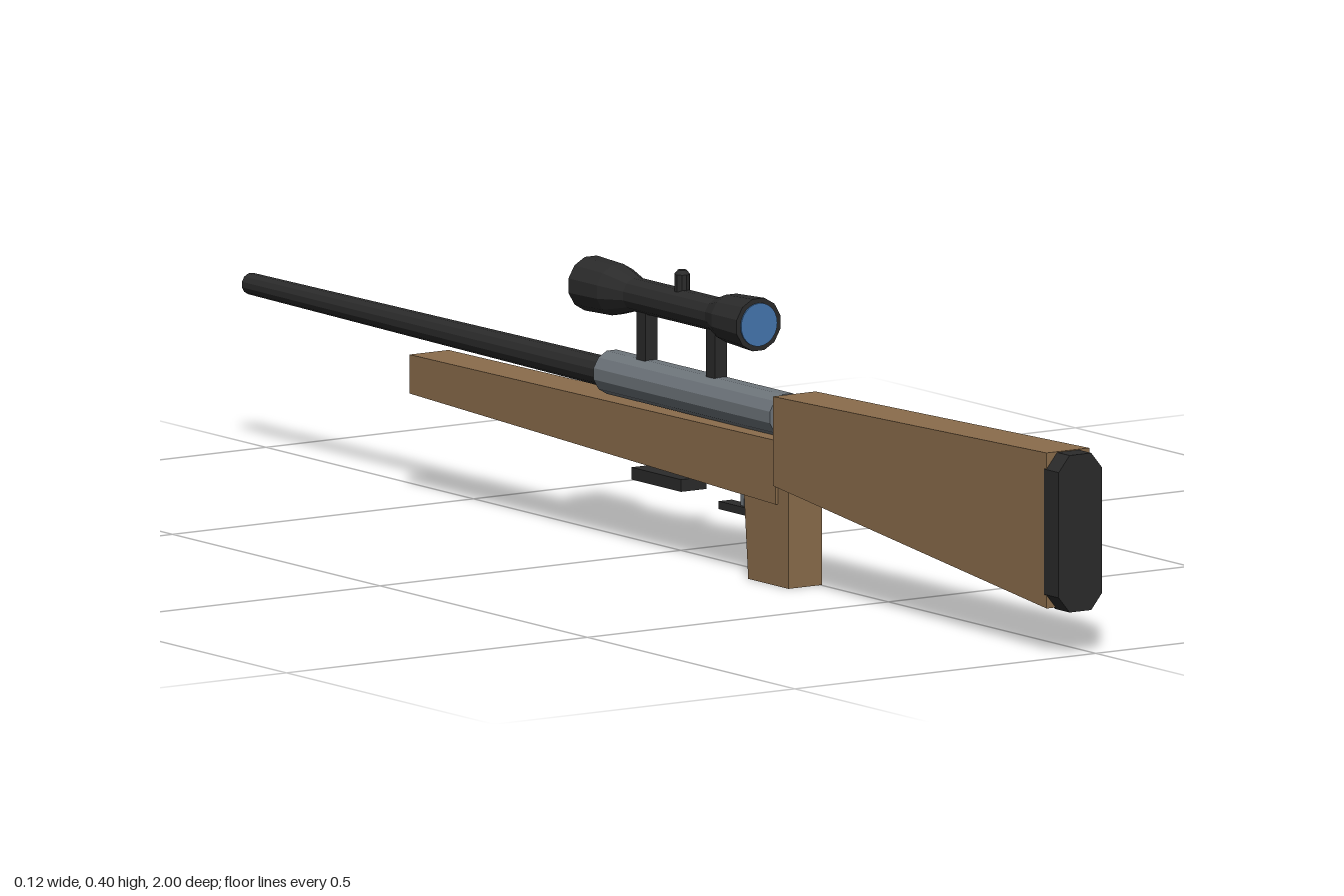
import * as THREE from 'three';

const mat = (name, color, flatShading = true) => {
  const m = new THREE.MeshStandardMaterial({ color });
  m.name = name;
  m.flatShading = flatShading;
  return m;
};

export function createModel() {
  const wood = mat('wood', 0x8b6d4c);
  const black = mat('black metal', 0x2b2b2b);
  const steel = mat('steel', 0x6e757b);
  const glass = mat('lens blue', 0x4577b0);

  const model = new THREE.Group();
  model.name = 'rifle';
  // everything on the bore line sits in this group, offset for the bolt handle
  const body = new THREE.Group();
  body.name = 'body';
  body.position.x = -0.0255;
  model.add(body);

  const add = (name, geometry, material, x = 0, y = 0, z = 0) => {
    const mesh = new THREE.Mesh(geometry, material);
    mesh.name = name;
    mesh.position.set(x, y, z);
    body.add(mesh);
    return mesh;
  };

  // side profile in (z, y), extruded across x
  const slab = (points, width) => {
    const shape = new THREE.Shape(points.map(p => new THREE.Vector2(...p)));
    return new THREE.ExtrudeGeometry(shape, { depth: width, bevelEnabled: false })
      .translate(0, 0, -width / 2)
      .rotateY(-Math.PI / 2);
  };

  // turned profile in (z, radius), with closed ends, z ascending
  const turned = (points, sides = 12) => {
    const first = points[0][0], last = points[points.length - 1][0];
    const profile = [[first, 0], ...points, [last, 0]].map(([z, r]) => new THREE.Vector2(r, z));
    return new THREE.LatheGeometry(profile, sides, Math.PI / sides).rotateX(Math.PI / 2);
  };

  // wooden stock
  add('buttStock', slab([[0.97, 0.064], [0.97, 0.28], [0.31, 0.264], [0.31, 0.14]], 0.071), wood);
  add('foreStock', slab([[0.312, 0.114], [0.312, 0.203], [-0.57, 0.196], [-0.57, 0.142]], 0.065), wood);
  add('grip', slab([[0.337, 0], [0.337, 0.16], [0.226, 0.16], [0.24, 0]], 0.056), wood);

  // butt pad with chamfered corners
  const w = 0.036, h = 0.109, cx = 0.018, cy = 0.022;
  const pad = new THREE.Shape([
    [w, -h + cy], [w, h - cy], [w - cx, h], [-w + cx, h],
    [-w, h - cy], [-w, -h + cy], [-w + cx, -h], [w - cx, -h],
  ].map(p => new THREE.Vector2(...p)));
  add('buttPad', new THREE.ExtrudeGeometry(pad, { depth: 0.035, bevelEnabled: false }), black, 0, 0.17, 0.965);

  // receiver and barrel
  add('receiver', turned([[-0.13, 0.031], [0.295, 0.031]]), steel, 0, 0.232);
  add('barrel', turned([[-1, 0.015], [-0.12, 0.021]]), black, 0, 0.23);

  // bolt handle
  const handle = new THREE.CylinderGeometry(0.0065, 0.0065, 0.06, 8).rotateZ(Math.PI / 2);
  add('boltHandle', handle, steel, 0.041, 0.229, 0.205);
  add('boltKnob', new THREE.SphereGeometry(0.012, 8, 6), steel, 0.0755, 0.216, 0.205);

  // scope
  const scopeY = 0.348;
  add('scopeTube', turned([
    [-0.18, 0.0385], [-0.115, 0.036], [-0.07, 0.0235],
    [0.128, 0.0235], [0.158, 0.034], [0.224, 0.0375],
  ]), black, 0, scopeY);
  for (const [name, z] of [['objectiveLens', -0.18], ['eyepieceLens', 0.224]]) {
    add(name, new THREE.CylinderGeometry(0.03, 0.03, 0.004, 24).rotateX(Math.PI / 2), glass, 0, scopeY, z);
  }
  for (const z of [0.123, -0.045]) {
    add('scopeMount', new THREE.BoxGeometry(0.02, 0.08, 0.022), black, 0, 0.293, z);
  }

  // adjustment turrets, one on top and one on the left
  const turret = () => new THREE.LatheGeometry(
    [[0, 0], [0.011, 0], [0.011, 0.044], [0.006, 0.05], [0, 0.05]].map(p => new THREE.Vector2(...p)), 10);
  add('topTurret', turret(), black, 0, scopeY, 0.04);
  add('sideTurret', turret(), black, 0, scopeY, 0.04).rotation.z = -Math.PI / 2;

  // trigger, guard and magazine plate
  add('trigger', new THREE.BoxGeometry(0.01, 0.045, 0.008), steel, 0, 0.107, 0.192);
  add('triggerGuard', new THREE.BoxGeometry(0.022, 0.011, 0.082), black, 0, 0.087, 0.185);
  add('magazinePlate', new THREE.BoxGeometry(0.042, 0.017, 0.12), black, 0, 0.104, 0.008);

  return model;
}
